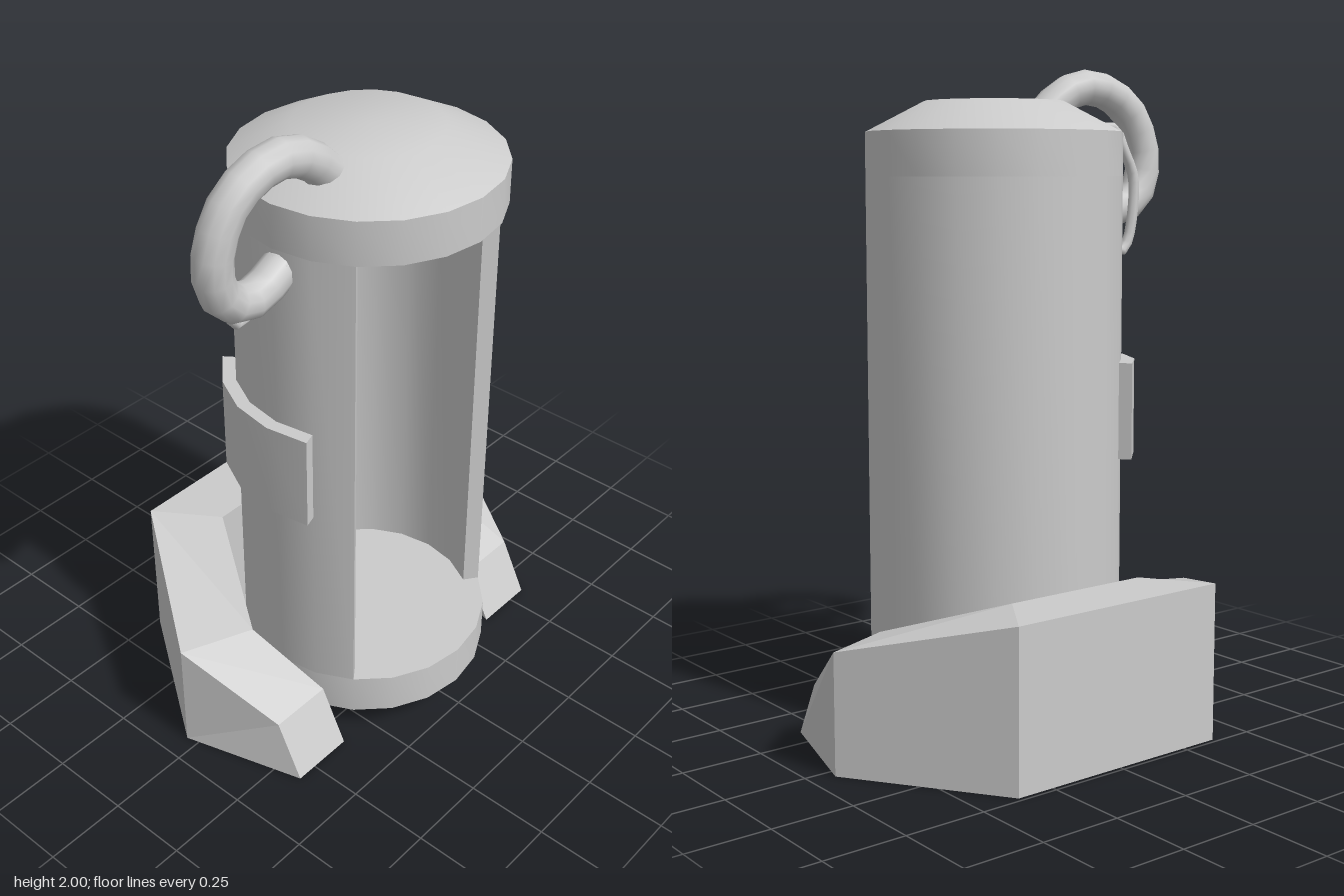
import * as THREE from 'three';
import { toCreasedNormals } from 'three/addons/utils/BufferGeometryUtils.js';

const STEP = Math.PI / 10; // the body has 20 sides
const R = 0.385;
const V = (x, y, z) => new THREE.Vector3(x, y, z);

export function createModel() {
  const model = new THREE.Group();
  const smooth = new THREE.MeshStandardMaterial({ color: 0xcccccc });
  const flat = new THREE.MeshStandardMaterial({ color: 0xcccccc, flatShading: true });

  function add(parent, name, geometry, material = smooth) {
    const mesh = new THREE.Mesh(geometry, material);
    mesh.name = name;
    parent.add(mesh);
    return mesh;
  }

  // Solid turned from a profile running bottom to top
  function turned(profile, sides = 20) {
    const pts = profile.map(([r, y]) => new THREE.Vector2(r, y));
    return toCreasedNormals(new THREE.LatheGeometry(pts, sides), 0.5);
  }

  // Curved wall between two radii; steps are counted round from the front
  function curvedWall(rIn, rOut, y0, y1, first, last) {
    const pts = [];
    const put = (r, i) => pts.push(new THREE.Vector2(r * Math.sin(i * STEP), -r * Math.cos(i * STEP)));
    for (let i = first; i <= last; i++) put(rOut, i);
    for (let i = last; i >= first; i--) put(rIn, i);
    const geo = new THREE.ExtrudeGeometry(new THREE.Shape(pts), { depth: y1 - y0, bevelEnabled: false });
    geo.rotateX(-Math.PI / 2).translate(0, y0, 0);
    return toCreasedNormals(geo, 0.5);
  }

  // Rod of given end radii between two points
  function rod(parent, name, a, b, ra, rb, sides = 8) {
    const mesh = add(parent, name, new THREE.CylinderGeometry(rb, ra, a.distanceTo(b), sides));
    mesh.position.copy(a).lerp(b, 0.5);
    mesh.quaternion.setFromUnitVectors(V(0, 1, 0), b.clone().sub(a).normalize());
  }

  // Canister body: base, open-fronted wall and cap
  const body = new THREE.Group();
  body.name = 'canister';
  body.position.z = 0.1;
  model.add(body);
  add(body, 'canisterBase', turned([[0, 0], [0.24, 0], [R, 0.09], [R, 0.22], [0, 0.22]]));
  add(body, 'canisterWall', curvedWall(0.335, R, 0.22, 1.67, 3, 17));
  add(body, 'canisterCap', turned([[0, 1.67], [R, 1.67], [R, 1.8], [0.21, 1.89], [0, 1.89]]));
  add(body, 'sidePlate', curvedWall(0.375, 0.425, 0.83, 1.12, 12, 16));

  // Nozzles hanging under the cap
  const nozzles = new THREE.Group();
  nozzles.name = 'nozzles';
  body.add(nozzles);
  const block = add(nozzles, 'nozzleBlock', new THREE.BoxGeometry(0.1, 0.07, 0.1));
  block.position.y = 1.636;
  for (const s of [-1, 1]) {
    const top = V(s * 0.175, 1.56, 0);
    const tip = V(s * 0.075, 1.44, 0);
    const at = (t) => top.clone().lerp(tip, t);
    rod(nozzles, 'nozzleArm', V(s * 0.04, 1.65, 0), V(s * 0.15, 1.555, 0), 0.014, 0.014);
    rod(nozzles, 'nozzleCone', at(0), at(0.55), 0.042, 0.02, 12);
    rod(nozzles, 'nozzleNeedle', at(0.5), at(1), 0.009, 0.006);
    for (let i = 0; i < 4; i++) {
      const t = 0.12 + i * 0.17;
      const r = 0.054 - i * 0.009;
      rod(nozzles, 'nozzleRing', at(t), at(t + 0.05), r, r, 12);
    }
    add(nozzles, 'nozzleTip', new THREE.SphereGeometry(0.011, 8, 6)).position.copy(tip);
  }

  // Hoses on the right side
  function hose(name, pts, radius, segments, sides) {
    const curve = new THREE.CatmullRomCurve3(pts.map((p) => V(...p)));
    add(model, name, new THREE.TubeGeometry(curve, segments, radius, sides));
    for (const end of [pts[0], pts[pts.length - 1]]) {
      add(model, name + 'End', new THREE.SphereGeometry(radius, sides, 6)).position.set(...end);
    }
  }
  hose('largeHose', [
    [-0.23, 1.85, 0.155], [-0.31, 1.92, 0.15], [-0.42, 1.945, 0.14], [-0.55, 1.88, 0.125],
    [-0.61, 1.74, 0.115], [-0.59, 1.63, 0.11], [-0.53, 1.575, 0.11], [-0.46, 1.565, 0.11], [-0.36, 1.61, 0.11],
  ], 0.055, 14, 12);
  hose('smallHose', [
    [-0.36, 1.815, 0.05], [-0.43, 1.815, 0.045], [-0.46, 1.75, 0.035], [-0.495, 1.67, 0.03],
    [-0.49, 1.56, 0.025], [-0.465, 1.46, 0.025], [-0.435, 1.435, 0.025], [-0.375, 1.49, 0.03],
  ], 0.017, 18, 8);

  // Horseshoe stand: cross-sections from one foot round the back to the other,
  // each as outer top, inner top, inner bottom, outer bottom
  const half = [
    [[0.565, 0.17, 0.25], [0.365, 0.17, 0.25], [0.365, 0, 0.335], [0.565, 0, 0.335]],
    [[0.675, 0.36, -0.04], [0.46, 0.36, 0.05], [0.46, 0, 0.05], [0.675, 0, -0.04]],
    [[0.37, 0.48, -0.485], [0.24, 0.48, -0.29], [0.24, 0, -0.29], [0.37, 0, -0.485]],
  ];
  const mirrored = half.map((sec) => sec.map(([x, y, z]) => [-x, y, z])).reverse();
  const sections = [...half, ...mirrored];
  const index = [];
  const quad = (a, b, c, d) => index.push(a, b, c, a, c, d);
  for (let i = 0; i < sections.length - 1; i++) {
    for (let k = 0; k < 4; k++) {
      const n = (k + 1) % 4;
      quad(i * 4 + k, (i + 1) * 4 + k, (i + 1) * 4 + n, i * 4 + n);
    }
  }
  const e = (sections.length - 1) * 4;
  quad(0, 1, 2, 3);
  quad(e + 3, e + 2, e + 1, e);
  const indexed = new THREE.BufferGeometry();
  indexed.setAttribute('position', new THREE.Float32BufferAttribute(sections.flat(2), 3));
  indexed.setIndex(index);
  const standGeo = indexed.toNonIndexed();
  standGeo.computeVertexNormals();
  add(model, 'stand', standGeo, flat);

  return model;
}
